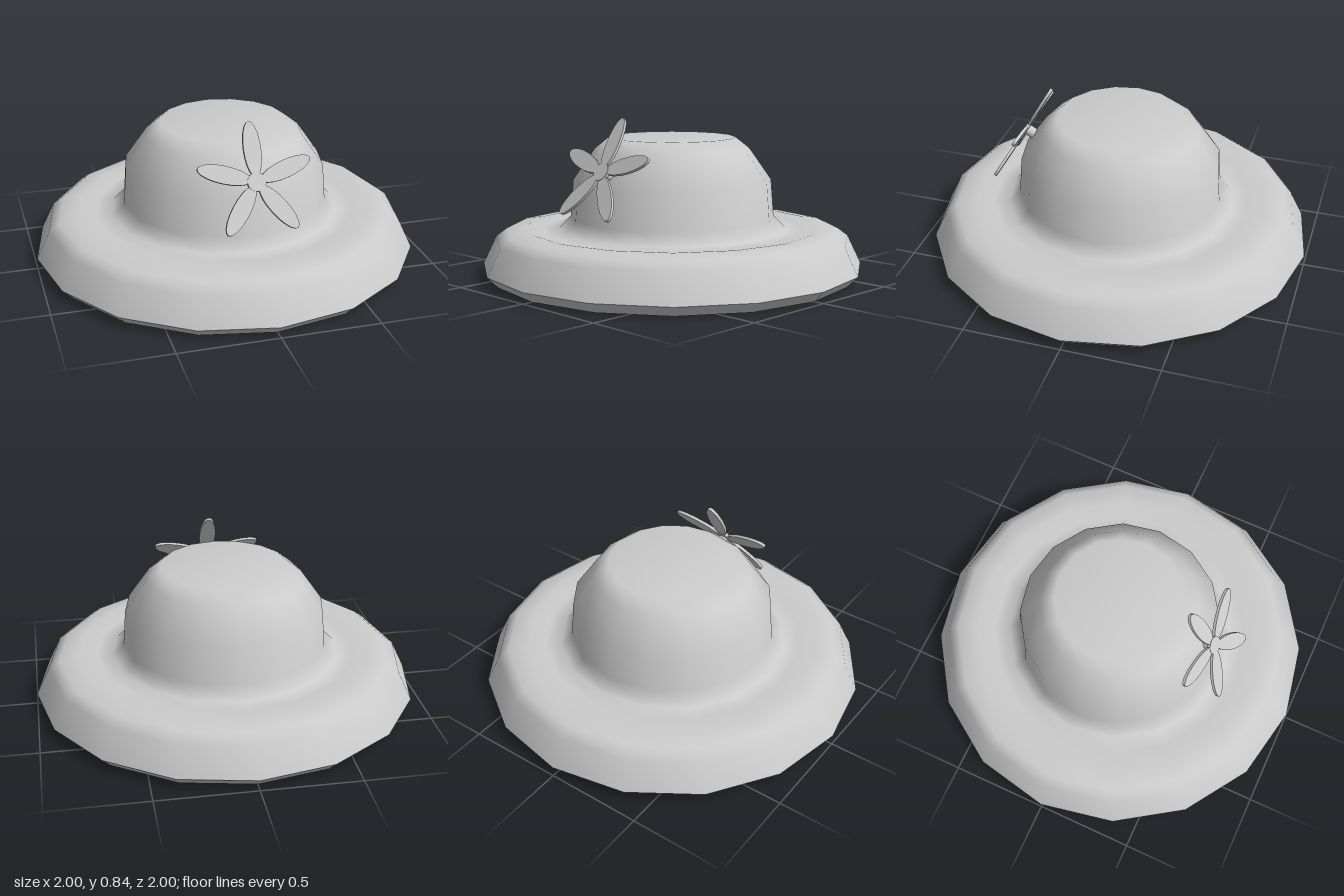
import * as THREE from 'three';

const SIDES = 16;

export function createModel() {
  const hat = new THREE.Group();
  hat.name = 'sunHat';
  const grey = new THREE.MeshStandardMaterial({ color: 0xcccccc });
  grey.name = 'lightGrey';

  const add = (parent, name, geometry) => {
    const mesh = new THREE.Mesh(geometry, grey);
    mesh.name = name;
    parent.add(mesh);
    return mesh;
  };
  const lathe = (points) =>
    new THREE.LatheGeometry(points.map(([r, y]) => new THREE.Vector2(r, y)), SIDES);
  const disc = (radius, depth, z) =>
    new THREE.CylinderGeometry(radius, radius, depth, 20).rotateX(Math.PI / 2).translate(0, 0, z);

  // Brim and crown in one smooth sweep: rolled edge, faint valley, flared base, flat top
  add(hat, 'brimAndCrown', lathe([
    [1, 0.055], [0.93, 0.2], [0.875, 0.241], [0.77, 0.256], [0.68, 0.243],
    [0.595, 0.246], [0.535, 0.308], [0.52, 0.5], [0.405, 0.665],
    [0.33, 0.725], [0, 0.725],
  ]));

  // Bevelled lower rim, and a shallow hollow underside kept separate for a crisp edge
  add(hat, 'lowerRim', lathe([[0.945, 0], [1, 0.055]]));
  add(hat, 'underside', lathe([[0, 0.1], [0.35, 0.092], [0.6, 0.07], [0.8, 0.036], [0.945, 0]]));

  // Flower leaning back against the front of the crown
  const flower = new THREE.Group();
  flower.name = 'flower';
  flower.position.set(0.022, 0.582, 0.515);
  flower.rotation.x = -Math.PI / 6;
  hat.add(flower);

  // Five flat oval petals
  const petalGeometry = disc(1, 0.016, 0).scale(0.044, 0.137, 1).translate(0, 0.162, 0);
  for (let i = 0; i < 5; i++) {
    add(flower, 'petal', petalGeometry).rotation.z = (i * Math.PI * 2) / 5;
  }

  // Round centre and the short peg that joins it to the crown
  add(flower, 'flowerCentre', disc(0.047, 0.02, 0));
  add(flower, 'flowerPeg', disc(0.028, 0.07, -0.035));

  return hat;
}
